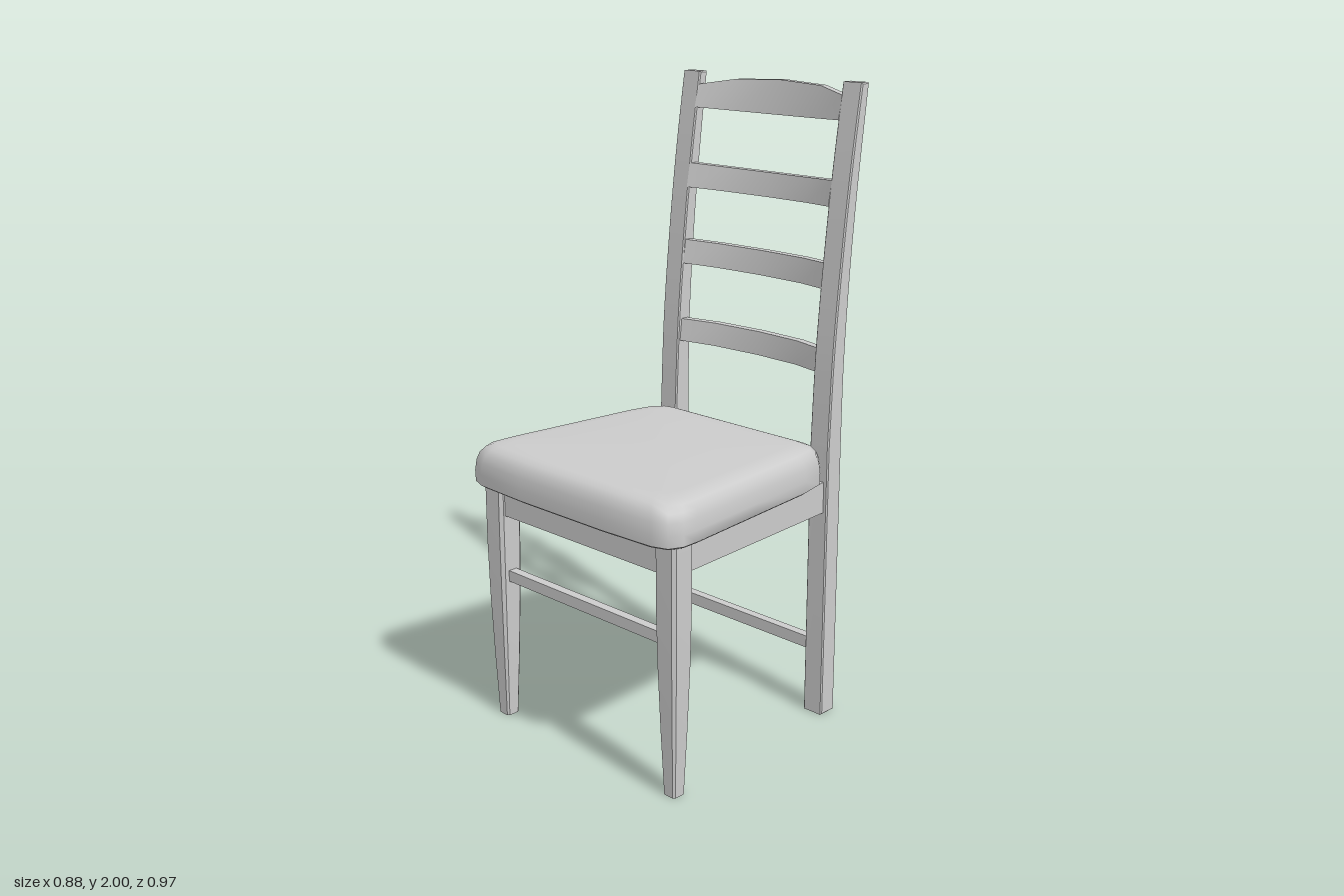
import * as THREE from 'three';
import { toCreasedNormals } from 'three/addons/utils/BufferGeometryUtils.js';

const material = new THREE.MeshStandardMaterial({ color: 0xcccccc });

// Skin a list of equal-length rings of [x, y, z] points and cap both ends
function loft(rings, crease) {
  const n = rings[0].length, pos = rings.flat(2), index = [];
  const centre = (ring) => [0, 1, 2].map((k) => ring.reduce((s, p) => s + p[k], 0) / n);
  const first = rings.length * n, last = first + 1;
  pos.push(...centre(rings[0]), ...centre(rings[rings.length - 1]));
  for (let i = 0; i < n; i++) {
    const j = (i + 1) % n;
    for (let r = 0; r < rings.length - 1; r++) {
      const a = r * n + i, b = r * n + j;
      index.push(a, a + n, b + n, a, b + n, b);
    }
    const top = (rings.length - 1) * n;
    index.push(first, i, j, last, top + j, top + i);
  }
  const g = new THREE.BufferGeometry();
  g.setAttribute('position', new THREE.Float32BufferAttribute(pos, 3));
  g.setIndex(index);
  return toCreasedNormals(g, crease);
}

export function createModel() {
  const chair = new THREE.Group();
  chair.name = 'chair';
  const add = (name, geometry, x = 0, y = 0, z = 0) => {
    const mesh = new THREE.Mesh(geometry, material);
    mesh.name = name;
    mesh.position.set(x, y, z);
    chair.add(mesh);
    return mesh;
  };

  // Cushioned seat: a tapered outline, drawn in towards the top
  const half = [[0.385, -0.17], [0.41, 0.08], [0.438, 0.36], [0.439, 0.415], [0.42, 0.458], [0.37, 0.476], [0.175, 0.485]];
  const rear = [[0.15, -0.304], [0.3, -0.304], [0.335, -0.295], [0.365, -0.26]];
  const right = [...rear, ...half];
  const outline = [...right, ...right.map(([x, z]) => [-x, z]).reverse()];
  const profile = [[0.787, 0.012], [0.795, 0.001], [0.83, 0], [0.865, 0.004], [0.89, 0.012], [0.908, 0.027], [0.917, 0.05], [0.92, 0.09]];
  const zMid = 0.09;
  add('seat', loft(profile.map(([y, inset]) => outline.map(([x, z]) => [
    x * (1 - inset / 0.44), y, zMid + (z - zMid) * (1 - inset / 0.395),
  ])), 0.9));

  // Back posts: side profile with a backward sweep, extruded across x
  const shape = new THREE.Shape();
  shape.moveTo(-0.36, 0);
  shape.lineTo(-0.296, 0);
  shape.lineTo(-0.296, 0.9);
  shape.splineThru([[-0.31, 1.2], [-0.338, 1.5], [-0.37, 1.76], [-0.407, 2]].map((p) => new THREE.Vector2(...p)));
  shape.lineTo(-0.441, 2);
  shape.splineThru([[-0.402, 1.68], [-0.378, 1.42], [-0.363, 1.16], [-0.36, 0.9]].map((p) => new THREE.Vector2(...p)));
  shape.closePath();
  const bevel = 0.004;
  const post = new THREE.ExtrudeGeometry(shape, {
    depth: 0.074 - 2 * bevel, curveSegments: 12, bevelEnabled: true,
    bevelThickness: bevel, bevelSize: bevel, bevelOffset: -bevel, bevelSegments: 1,
  });
  post.translate(0, 0, -(0.074 - 2 * bevel) / 2).rotateY(-Math.PI / 2);
  const postGeometry = toCreasedNormals(post, 0.4);

  // Front legs: chamfered square section, tapering to the foot
  const legGeometry = loft([[0, 0.023], [0.2, 0.031], [0.42, 0.038], [0.6, 0.041], [0.79, 0.041]].map(([y, h]) => {
    const c = h * 0.75;
    return [[h, -c], [h, c], [c, h], [-c, h], [-h, c], [-h, -c], [-c, -h], [c, -h]].map(([x, z]) => [x, y, z]);
  }), 0.6);

  for (const side of [-1, 1]) {
    const label = side > 0 ? 'left' : 'right';
    add(label + 'BackPost', postGeometry, side * 0.328);
    add(label + 'FrontLeg', legGeometry, side * 0.375, 0, 0.39);
    // Side apron, following the taper of the seat
    const dx = 0.045, dz = 0.68;
    const apron = add(label + 'SideApron', new THREE.BoxGeometry(0.03, 0.1, Math.hypot(dx, dz)), side * 0.358, 0.74, 0.045);
    apron.rotation.y = side * Math.atan2(dx, dz);
  }

  // Aprons and stretchers across the front and back
  add('frontApron', new THREE.BoxGeometry(0.69, 0.1, 0.03), 0, 0.74, 0.4);
  add('backApron', new THREE.BoxGeometry(0.6, 0.1, 0.03), 0, 0.74, -0.33);
  add('frontStretcher', new THREE.BoxGeometry(0.69, 0.036, 0.03), 0, 0.487, 0.39);
  add('backStretcher', new THREE.BoxGeometry(0.6, 0.04, 0.03), 0, 0.225, -0.33);

  // Bowed ladder slats: [bottom, top, back z at bottom, back z at top, arch of top edge]
  const slats = [
    [1.13, 1.203, -0.398, -0.406, -0.006],
    [1.388, 1.465, -0.412, -0.424, -0.008],
    [1.635, 1.712, -0.434, -0.448, -0.01],
    [1.888, 1.96, -0.47, -0.488, 0.026],
  ];
  const stations = [[-0.295, 0], [-0.175, 0.74], [0, 1], [0.175, 0.74], [0.295, 0]];
  const thick = 0.027, bow = 0.057;
  for (const [y0, y1, z0, z1, arch] of slats) {
    add('backSlat', loft(stations.map(([x, t]) => {
      const shift = bow * (1 - t), low = y0 - 0.008 * t, high = y1 + arch * t;
      return [
        [x, low, z0 + shift + thick], [x, high, z1 + shift + thick],
        [x, high, z1 + shift], [x, low, z0 + shift],
      ];
    }), 0.5));
  }
  return chair;
}
